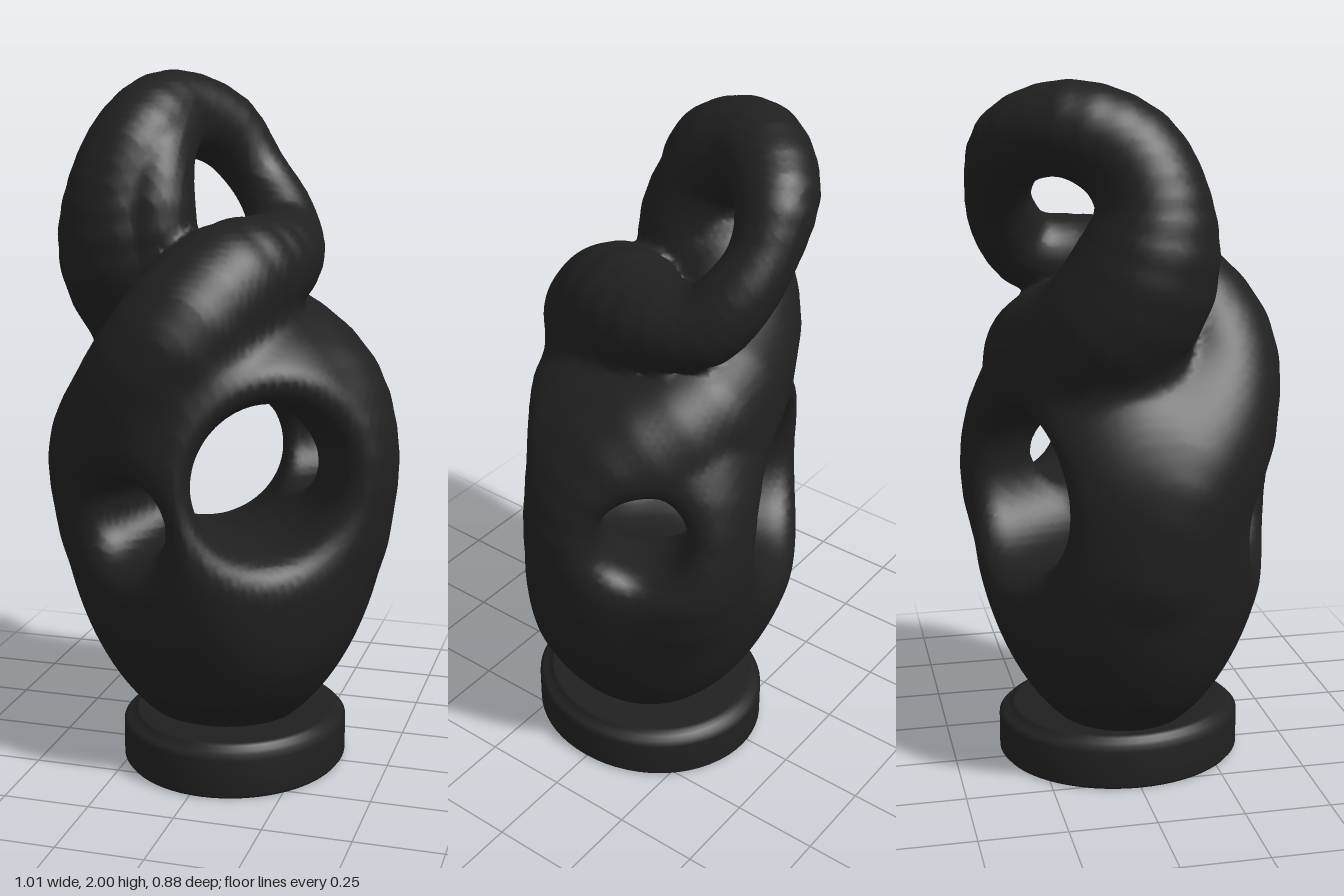
import * as THREE from 'three';

const V = (x, y, z) => new THREE.Vector3(x, y, z);

// One continuous ribbon: right side, across the back, over the top loop, across the front, left side [x, y, z, radius]
const RIBBON = [
  [0.33, 0.72, 0.0, 0.14], [0.34, 0.93, -0.02, 0.16], [0.26, 1.09, -0.08, 0.19], [0.06, 1.2, -0.18, 0.205],
  [-0.21, 1.31, -0.1, 0.205], [-0.285, 1.48, 0.0, 0.2], [-0.295, 1.66, 0.03, 0.155], [-0.25, 1.8, -0.03, 0.145],
  [-0.205, 1.872, -0.18, 0.128], [-0.095, 1.825, -0.315, 0.113], [0.0, 1.7, -0.345, 0.092], [0.075, 1.595, -0.315, 0.1],
  [0.118, 1.51, -0.245, 0.112], [0.12, 1.465, -0.08, 0.14], [0.03, 1.41, 0.1, 0.18], [-0.08, 1.26, 0.23, 0.19],
  [-0.21, 1.07, 0.21, 0.185], [-0.32, 0.9, 0.09, 0.17], [-0.34, 0.7, 0.02, 0.15],
];
// Web that broadens the left leg of the loop
const WEB = [[-0.2, 1.42, 0.03, 0.14], [-0.19, 1.6, 0.055, 0.12], [-0.2, 1.76, 0.0, 0.11], [-0.2, 1.85, -0.1, 0.11]];
// Rib at the back right
const RIB = [[0.12, 0.5, -0.14, 0.17], [0.22, 0.75, -0.26, 0.17], [0.18, 0.95, -0.27, 0.165], [0.1, 1.15, -0.2, 0.17]];

// Openings carved from the hollow middle outwards [from, to, radius at start, radius at end]
const OPENINGS = [
  [V(0.03, 0.89, 0), V(0.33, 0.91, 0.45), 0.2, 0.225],
  [V(0, 0.92, 0), V(0.6, 0.94, -0.37), 0.15, 0.095],
  [V(0, 0.89, 0), V(-0.24, 0.85, -0.52), 0.2, 0.25],
  [V(-0.05, 0.82, 0.05), V(-0.25, 0.76, 0.52), 0.06, 0.15],
];

// Distance to a capsule with a changing radius
function capsule(x, y, z, [a, b, ra, rb]) {
  const dx = b.x - a.x, dy = b.y - a.y, dz = b.z - a.z;
  const px = x - a.x, py = y - a.y, pz = z - a.z;
  const t = Math.min(1, Math.max(0, (px * dx + py * dy + pz * dz) / (dx * dx + dy * dy + dz * dz)));
  return Math.hypot(px - dx * t, py - dy * t, pz - dz * t) - ra - (rb - ra) * t;
}

function smoothMin(a, b, k) {
  const h = Math.max(k - Math.abs(a - b), 0) / k;
  return Math.min(a, b) - h * h * k * 0.25;
}

// Egg-shaped lower body with a shorter upper half, flattened at the front right
function egg(x, y, z) {
  const rx = 0.49, rz = 0.445, ry = y > 0.88 ? 0.5 : 0.82;
  const k0 = Math.hypot(x / rx, (y - 0.88) / ry, z / rz);
  const k1 = Math.hypot(x / rx ** 2, (y - 0.88) / ry ** 2, z / rz ** 2);
  const shell = k1 < 1e-6 ? -rz : (k0 * (k0 - 1)) / k1;
  return -smoothMin(-shell, 0.395 - 0.64 * x - 0.77 * z, 0.06);
}

function strandSegments(points, count) {
  const path = new THREE.CatmullRomCurve3(points.map((p) => V(p[0], p[1], p[2])));
  const radii = new THREE.SplineCurve(points.map((p, i) => new THREE.Vector2(i, p[3])));
  const segments = [];
  for (let i = 0; i < count; i++) {
    const t = i / count, u = (i + 1) / count;
    segments.push([path.getPoint(t), path.getPoint(u), radii.getPoint(t).y, radii.getPoint(u).y]);
  }
  return segments;
}

// Skin a distance field: one vertex per crossed cell, one quad per crossed edge
function skin(field, min, max, step) {
  const n = [0, 1, 2].map((a) => Math.ceil((max[a] - min[a]) / step) + 1);
  const stride = [1, n[0], n[0] * n[1]];
  const values = new Float32Array(n[0] * n[1] * n[2]);
  const cells = new Int32Array(values.length).fill(-1);
  const positions = [], indices = [];
  const each = (start, end, fn) => {
    for (let k = start; k < n[2] - end; k++)
      for (let j = start; j < n[1] - end; j++)
        for (let i = start; i < n[0] - end; i++) fn(i, j, k, i + j * stride[1] + k * stride[2]);
  };
  each(0, 0, (i, j, k, id) => {
    values[id] = field(min[0] + i * step, min[1] + j * step, min[2] + k * step);
  });
  each(0, 1, (i, j, k, id) => {
    const sum = [0, 0, 0];
    let crossings = 0;
    for (let c = 0; c < 8; c++) {
      const corner = [c & 1, (c >> 1) & 1, c >> 2];
      const at = id + corner[0] + corner[1] * stride[1] + corner[2] * stride[2];
      for (let a = 0; a < 3; a++) {
        if (corner[a]) continue;
        const va = values[at], vb = values[at + stride[a]];
        if (va < 0 === vb < 0) continue;
        for (let b = 0; b < 3; b++) sum[b] += corner[b] + (a === b ? va / (va - vb) : 0);
        crossings++;
      }
    }
    if (!crossings) return;
    cells[id] = positions.length / 3;
    [i, j, k].forEach((g, a) => positions.push(min[a] + (g + sum[a] / crossings) * step));
  });
  each(1, 1, (i, j, k, id) => {
    for (let a = 0; a < 3; a++) {
      const inside = values[id] < 0;
      if (inside === values[id + stride[a]] < 0) continue;
      const s = stride[(a + 1) % 3], t = stride[(a + 2) % 3];
      const [p, q, r, w] = [cells[id - s - t], cells[id - t], cells[id], cells[id - s]];
      if (inside) indices.push(p, q, r, p, r, w);
      else indices.push(p, r, q, p, w, r);
    }
  });
  const geometry = new THREE.BufferGeometry();
  geometry.setAttribute('position', new THREE.Float32BufferAttribute(positions, 3));
  geometry.setIndex(indices);
  geometry.computeVertexNormals();
  return geometry;
}

export function createModel() {
  const group = new THREE.Group();
  group.name = 'knotSculpture';
  const black = new THREE.MeshStandardMaterial({ color: 0x202020 });
  black.name = 'charcoal black';

  // Twisted, pierced body
  const segments = [...strandSegments(RIBBON, 54), ...strandSegments(WEB, 8), ...strandSegments(RIB, 8)];
  const body = (x, y, z) => {
    let strand = Infinity;
    for (const s of segments) strand = Math.min(strand, capsule(x, y, z, s));
    let hollow = Infinity;
    for (const o of OPENINGS) hollow = smoothMin(hollow, capsule(x, y, z, o), 0.03);
    const solid = smoothMin(strand, egg(x, y, z), 0.06);
    return Math.max(-smoothMin(-solid, hollow, 0.12), 0.1 - y);
  };
  const sculpture = new THREE.Mesh(skin(body, [-0.58, 0.04, -0.54], [0.58, 2.06, 0.54], 0.018), black);
  sculpture.name = 'twistedBody';
  group.add(sculpture);

  // Round plinth with a raised step
  const profile = [
    [0, 0], [0.335, 0], [0.343, 0.01], [0.343, 0.115], [0.33, 0.128], [0.312, 0.13], [0.308, 0.145], [0.298, 0.15], [0, 0.15],
  ].map(([r, y]) => new THREE.Vector2(r, y));
  const plinth = new THREE.Mesh(new THREE.LatheGeometry(profile, 64), black);
  plinth.name = 'plinth';
  plinth.scale.set(0.955, 1, 1.05);
  plinth.position.x = 0.035;
  group.add(plinth);

  return group;
}
